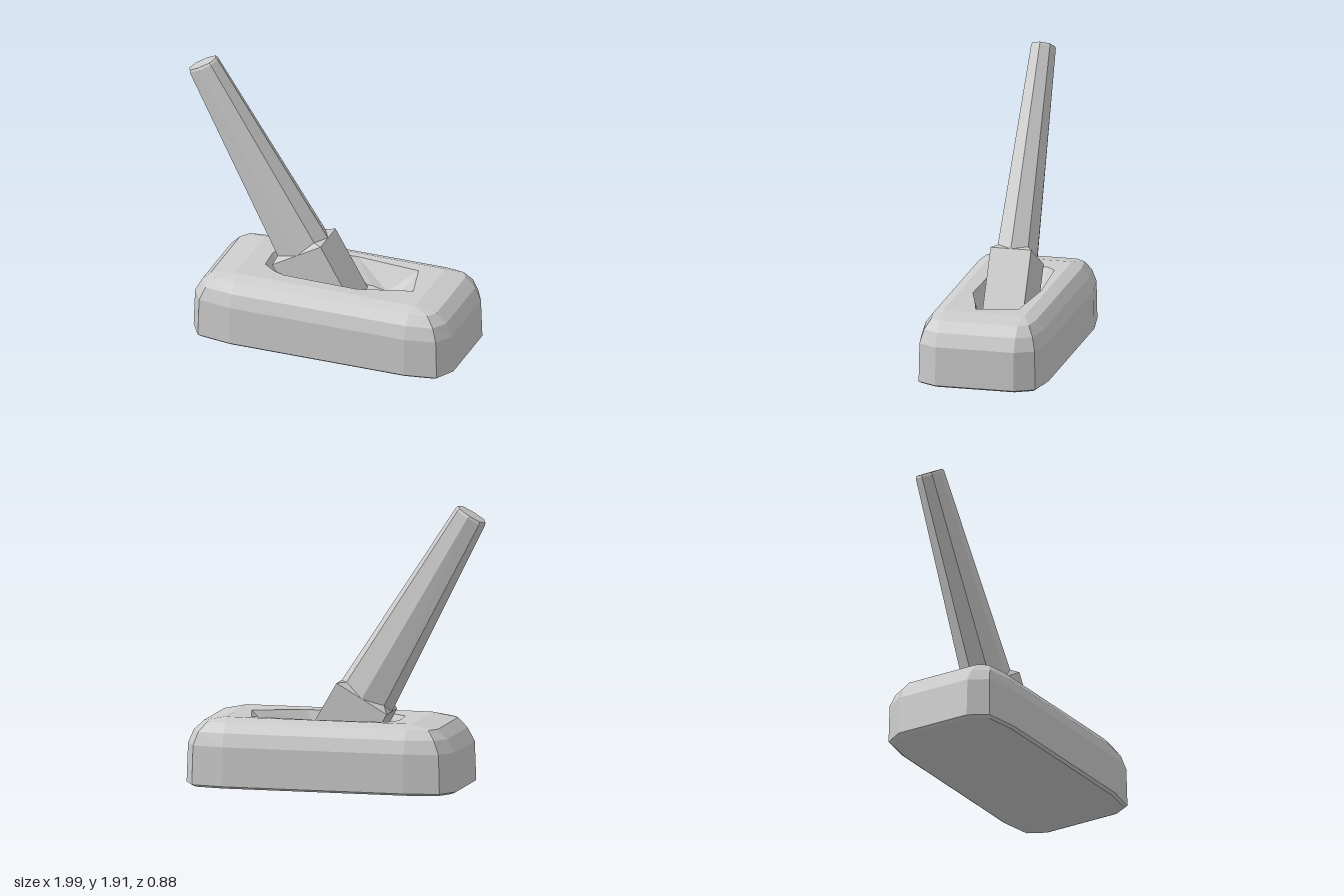
import * as THREE from 'three';

const material = new THREE.MeshStandardMaterial({ color: 0xcccccc, flatShading: true });

// Skins a stack of equal-length rings (clockwise seen from above) and caps both ends.
function loft(name, rings) {
  const n = rings[0].length;
  const points = rings.flat();
  const index = [];
  for (let r = 0; r < rings.length - 1; r++) {
    for (let i = 0; i < n; i++) {
      const a = r * n + i, b = r * n + (i + 1) % n;
      index.push(a, a + n, b + n, a, b + n, b);
    }
  }
  const last = (rings.length - 1) * n;
  for (let i = 1; i < n - 1; i++) {
    index.push(0, i, i + 1);
    index.push(last, last + i + 1, last + i);
  }
  const geometry = new THREE.BufferGeometry();
  geometry.setAttribute('position', new THREE.Float32BufferAttribute(points.flat(), 3));
  geometry.setIndex(index);
  const flat = geometry.toNonIndexed();
  flat.computeVertexNormals();
  const mesh = new THREE.Mesh(flat, material);
  mesh.name = name;
  return mesh;
}

// Twelve-point rounded rectangle; the straight sides keep their length as it insets.
function baseRing(y, left, right, z) {
  const l = -0.54, r = 0.71, s = 0.27;
  const lm = l + 0.75 * (left - l), rm = r + 0.76 * (right - r), zm = s + 0.77 * (z - s);
  return [
    [l, y, -z], [r, y, -z], [rm, y, -zm], [right, y, -s],
    [right, y, s], [rm, y, zm], [r, y, z], [l, y, z],
    [lm, y, zm], [left, y, s], [left, y, -s], [lm, y, -zm],
  ];
}

const levelRing = (y, outline) => outline.map(([x, z]) => [x, y, z]);

// Eight points around the stick: corner points are pulled in and lifted separately.
function stickRing(y, rx, rz, corner, lift = 0) {
  const cx = 0.148, c = corner;
  return [
    [0, -1], [c, -c], [1, 0], [c, c], [0, 1], [-c, c], [-1, 0], [-c, -c],
  ].map(([x, z], i) => [cx + x * rx, y + (i % 2 ? lift : 0), z * rz]);
}

export function createModel() {
  const model = new THREE.Group();
  model.name = 'controlStick';

  // Base with a slot sunk into its top
  const slotRim = [
    [-0.36, -0.21], [0.12, -0.24], [0.57, -0.2], [0.6, -0.08], [0.64, 0.08], [0.5, 0.12],
    [0.28, 0.19], [-0.25, 0.18], [-0.33, 0.15], [-0.42, 0.08], [-0.43, -0.08], [-0.41, -0.16],
  ];
  const slotFloor = [
    [-0.27, -0.16], [0.25, -0.17], [0.37, -0.13], [0.46, -0.05], [0.47, 0.04], [0.38, 0.11],
    [0.25, 0.15], [-0.23, 0.15], [-0.28, 0.12], [-0.33, 0.06], [-0.34, -0.06], [-0.32, -0.12],
  ];
  model.add(loft('base', [
    baseRing(0, -0.83, 0.97, 0.42),
    baseRing(0.015, -0.86, 1.0, 0.44),
    baseRing(0.28, -0.85, 0.99, 0.435),
    baseRing(0.37, -0.8, 0.95, 0.405),
    baseRing(0.435, -0.735, 0.88, 0.355),
    baseRing(0.465, -0.56, 0.73, 0.28),
    levelRing(0.46, slotRim),
    levelRing(0.3, slotFloor),
  ]));

  // Leaning stick: square collar running into the slot, tapered octagonal shaft above
  const stick = new THREE.Group();
  stick.name = 'stick';
  stick.rotation.z = Math.PI / 6;
  const d = Math.SQRT1_2 * 1.06, lift = 0.035;
  stick.add(loft('collar', [
    stickRing(0.12, 0.2, 0.14, 1),
    stickRing(0.606, 0.2, 0.14, 1),
    stickRing(0.605, 0.199, 0.139, d, lift),
  ]));
  stick.add(loft('shaft', [
    stickRing(0.6, 0.2, 0.14, d, lift),
    stickRing(2.04, 0.115, 0.086, d),
    stickRing(2.056, 0.108, 0.078, d),
  ]));
  model.add(stick);

  return model;
}
